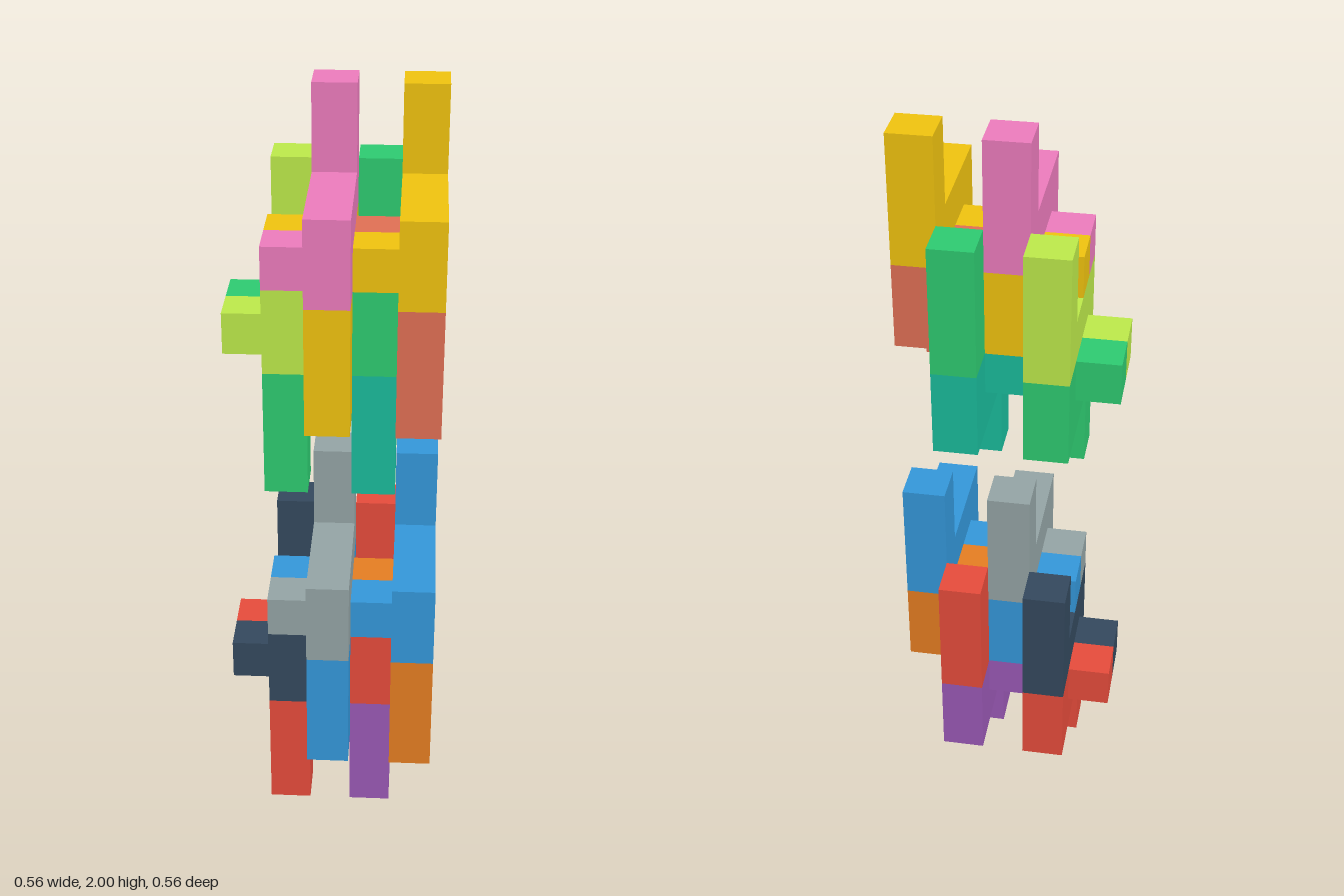
import * as THREE from 'three';

const U = 1 / 9; // edge of one unit cube

// Stepped bar outline as [z, y] in cube units
const STEP = [[2.5, 5], [2.5, 7], [-0.5, 7], [-0.5, 9], [-1.5, 9], [-1.5, 6], [0.5, 6], [0.5, 5]];

// One stepped bar one cube thick, with a peg on its -x side.
// The lower bar of a pair is the upper one turned half a turn in its plane.
function steppedBar(name, color, lower) {
  const points = STEP.map(([z, y]) => (lower ? [1 - z, 11 - y] : [z, y]));
  const shape = new THREE.Shape(points.map(([z, y]) => new THREE.Vector2(-z * U, y * U)));
  const barGeo = new THREE.ExtrudeGeometry(shape, { depth: U, bevelEnabled: false });
  barGeo.translate(0, 0, -U / 2).rotateY(Math.PI / 2);

  const material = new THREE.MeshStandardMaterial({ color, flatShading: true });
  const bar = new THREE.Mesh(barGeo, material);
  bar.name = 'steppedBar';
  const peg = new THREE.Mesh(new THREE.BoxGeometry(U, U, U), material);
  peg.name = 'sidePeg';
  peg.position.set(-U, 5.5 * U, lower ? 0 : U);

  const group = new THREE.Group();
  group.name = name;
  group.add(bar, peg);
  return group;
}

// Four layers side by side; every other layer sits one cube back and two down
function cluster(name, c) {
  const group = new THREE.Group();
  group.name = name;
  const layers = [
    { x: 2, set: 0, upper: c[1], lower: c[2] },
    { x: 0, set: 0, upper: c[0], lower: c[1] },
    { x: 1, set: 1, upper: c[4], lower: c[3] },
    { x: -1, set: 1, upper: c[5], lower: c[4] },
  ];
  layers.forEach(({ x, set, upper, lower }, i) => {
    for (const [label, color, isLower] of [['upperPiece', upper, false], ['lowerPiece', lower, true]]) {
      const piece = steppedBar(label + (i + 1), color, isLower);
      piece.position.set(x * U, -2 * set * U, -set * U);
      group.add(piece);
    }
  });
  return group;
}

export function createModel() {
  const model = new THREE.Group();
  model.name = 'interlockingBlocks';

  // grey, blue, orange, purple, red, navy
  const bottom = cluster('bottomCluster', [0x95a5a6, 0x3498db, 0xe67e22, 0x9b59b6, 0xe74c3c, 0x34495e]);

  // pink, gold, salmon, teal, green, lime
  const top = cluster('topCluster', [0xee7cbe, 0xf1c40f, 0xe17055, 0x1abc9c, 0x2ecc71, 0xbeeb4b]);
  top.position.y = 9 * U;

  model.add(bottom, top);
  return model;
}
